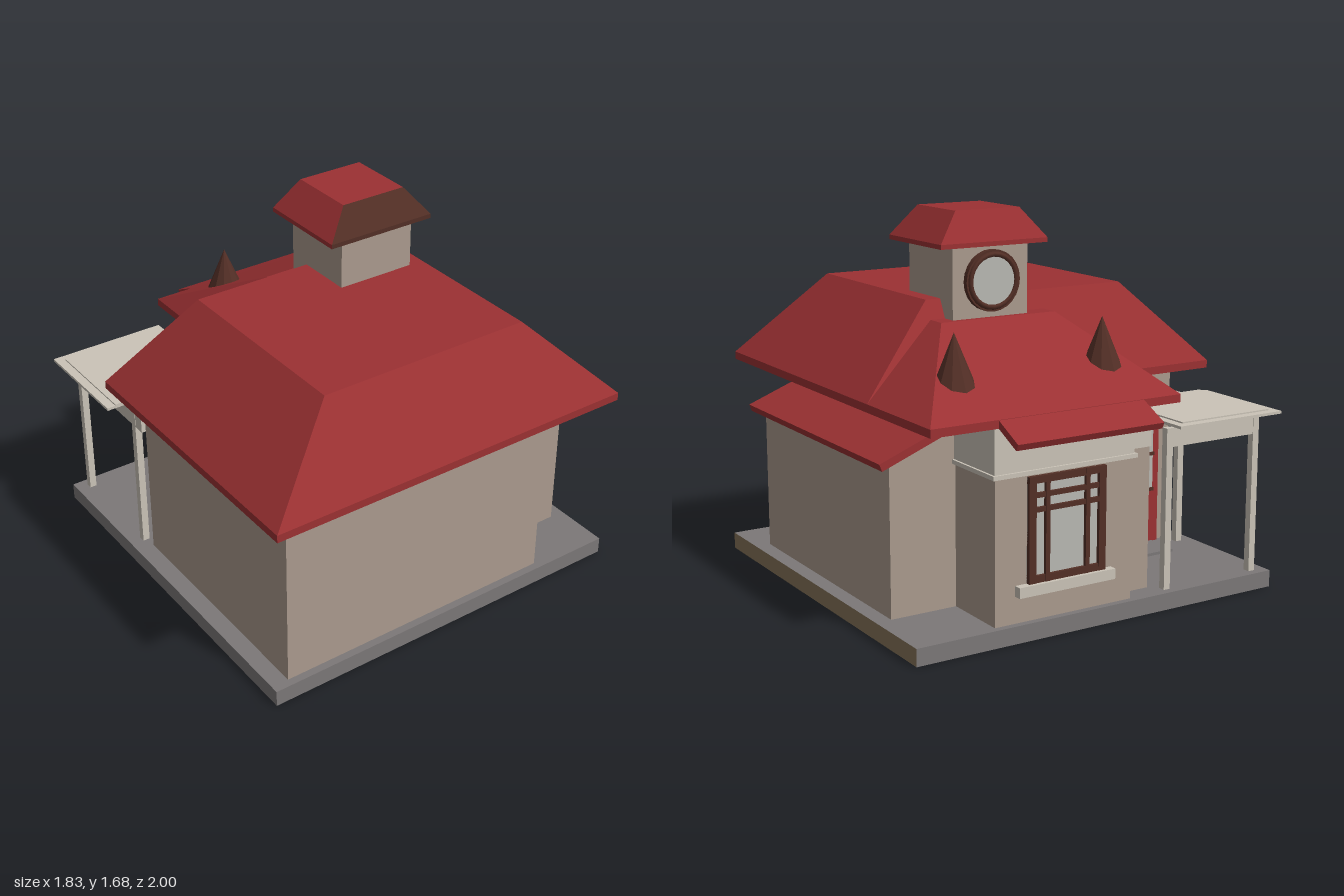
import * as THREE from 'three';

const mat = (name, color) => {
  const m = new THREE.MeshStandardMaterial({ color });
  m.name = name;
  return m;
};

export function createModel() {
  const red = mat('roof red', 0x9c3133);
  const wall = mat('wall beige', 0xab9b8e);
  const trim = mat('pale trim', 0xcbc4b8);
  const grey = mat('slab grey', 0x7c7878);
  const earth = mat('slab side brown', 0x857358);
  const brown = mat('dark brown', 0x532f26);
  const glass = mat('pale glass', 0xb9b9b3);

  const model = new THREE.Group();
  model.name = 'house';

  const add = (name, geo, material, parent = model) => {
    const mesh = new THREE.Mesh(geo, material);
    mesh.name = name;
    parent.add(mesh);
    return mesh;
  };
  // Box given by its extents on each axis
  const box = (name, material, x0, x1, y0, y1, z0, z1, parent = model) => {
    const m = add(name, new THREE.BoxGeometry(x1 - x0, y1 - y0, z1 - z0), material, parent);
    m.position.set((x0 + x1) / 2, (y0 + y1) / 2, (z0 + z1) / 2);
    return m;
  };
  const group = (name) => {
    const g = new THREE.Group();
    g.name = name;
    model.add(g);
    return g;
  };

  // Hipped roof from stacked rectangles [x0, x1, z0, z1, y]
  // Material slots: 0 slopes, 1 front slope, 2 underside
  const hipRoof = (name, rings, materials) => {
    const pos = [];
    const geo = new THREE.BufferGeometry();
    const corners = ([x0, x1, z0, z1, y]) => [[x0, y, z1], [x1, y, z1], [x1, y, z0], [x0, y, z0]];
    const quad = (a, b, c, d, slot) => {
      geo.addGroup(pos.length / 3, 6, slot);
      pos.push(...a, ...b, ...c, ...a, ...c, ...d);
    };
    const loops = rings.map(corners);
    for (let r = 0; r < loops.length - 1; r++) {
      for (let i = 0; i < 4; i++) {
        const j = (i + 1) % 4;
        quad(loops[r][i], loops[r][j], loops[r + 1][j], loops[r + 1][i], i === 0 ? 1 : 0);
      }
    }
    quad(...loops[loops.length - 1], 0);
    quad(...[...loops[0]].reverse(), 2);
    geo.setAttribute('position', new THREE.Float32BufferAttribute(pos, 3));
    geo.computeVertexNormals();
    return add(name, geo, materials);
  };

  // Ground slab
  box('baseSlab', [earth, grey, grey, grey, grey, grey], -0.88, 0.91, 0, 0.075, -0.86, 0.92);

  // Walls
  box('mainWalls', wall, -0.8, 0.54, 0.075, 0.9, -0.22, 0.885);
  box('backWingWalls', wall, -0.135, 0.535, 0.075, 0.9, -0.83, -0.2);
  box('porchSideWall', wall, -0.28, -0.135, 0.075, 0.9, -0.755, -0.2);

  // Lean-to on the +x side, with a sloping top
  const lean = new THREE.Shape();
  lean.moveTo(0.53, 0.075).lineTo(0.84, 0.075).lineTo(0.84, 0.735).lineTo(0.53, 0.86);
  const leanGeo = new THREE.ExtrudeGeometry(lean, { depth: 1.19, bevelEnabled: false });
  add('leanToWalls', leanGeo, wall).position.z = -0.525;

  // Pale cornice around the back wing
  box('cornice', trim, -0.14, 0.54, 0.7, 0.899, -0.835, -0.5);
  box('corniceLedge', trim, -0.15, 0.55, 0.688, 0.706, -0.845, -0.5);
  box('porchSideCornice', trim, -0.285, -0.13, 0.7, 0.899, -0.76, -0.3);

  // Roofs
  hipRoof('mainRoof', [
    [-0.915, 0.84, -0.345, 1, 0.9],
    [-0.915, 0.84, -0.345, 1, 0.935],
    [-0.54, 0.46, -0.16, 0.775, 1.305],
  ], [red, red, trim]);
  hipRoof('backWingRoof', [
    [-0.355, 0.84, -0.86, 0, 0.9],
    [-0.355, 0.84, -0.86, 0, 0.935],
    [-0.105, 0.46, -0.29, 0, 1.225],
  ], [red, red, trim]);

  // Sloping awnings
  const sideAwning = add('sideAwning', new THREE.BoxGeometry(0.39, 0.033, 1.27),
    [red, red, red, red, brown, red]);
  sideAwning.position.set(0.716, 0.797, 0.07);
  sideAwning.rotation.z = -0.37;
  const backAwning = add('backAwning', new THREE.BoxGeometry(0.7, 0.03, 0.22), red);
  backAwning.position.set(0.185, 0.9, -0.893);
  backAwning.rotation.x = -0.46;

  // Clock tower
  box('tower', wall, 0.02, 0.39, 1.15, 1.54, -0.265, 0.105);
  hipRoof('towerRoof', [
    [-0.06, 0.465, -0.3, 0.145, 1.53],
    [-0.06, 0.465, -0.3, 0.145, 1.55],
    [0.045, 0.36, -0.24, 0.08, 1.68],
  ], [red, brown, brown]);
  const clock = group('clock');
  clock.position.set(0.205, 1.382, -0.265);
  const ring = add('clockBody', new THREE.CylinderGeometry(0.132, 0.132, 0.05, 24), brown, clock);
  ring.rotation.x = Math.PI / 2;
  add('clockRim', new THREE.TorusGeometry(0.112, 0.012, 6, 24), brown, clock).position.z = -0.025;
  const face = add('clockFace', new THREE.CircleGeometry(0.105, 24), glass, clock);
  face.rotation.y = Math.PI;
  face.position.z = -0.028;

  // Roof spikes
  for (const [x, z] of [[-0.14, -0.595], [0.585, -0.605]]) {
    const cone = new THREE.ConeGeometry(0.095, 0.23, 10).toNonIndexed();
    cone.computeVertexNormals();
    add('roofSpike', cone, brown).position.set(x, 1.13, z);
  }

  // Back window: panes, frame bars and sill
  const win = group('backWindow');
  box('windowPanes', glass, 0.01, 0.385, 0.235, 0.68, -0.834, -0.83, win);
  for (const [x, w, top] of [[0.027, 0.034, 0.68], [0.368, 0.034, 0.68],
    [0.1, 0.02, 0.68], [0.295, 0.02, 0.68]]) {
    box('windowUpright', brown, x - w / 2, x + w / 2, 0.235, top, -0.85, -0.83, win);
  }
  for (const [y, h] of [[0.25, 0.03], [0.54, 0.02], [0.6, 0.02], [0.665, 0.03]]) {
    box('windowCrossbar', brown, 0.01, 0.385, y - h / 2, y + h / 2, -0.848, -0.83, win);
  }
  box('windowSill', trim, -0.03, 0.44, 0.19, 0.235, -0.865, -0.82, win);

  // Porch roof, beams and posts
  const porch = group('porch');
  box('porchRoof', trim, -0.915, -0.36, 0.783, 0.795, -0.86, -0.345, porch);
  box('porchRoofPanel', trim, -0.875, -0.4, 0.795, 0.801, -0.82, -0.345, porch);
  box('porchBackBeam', trim, -0.82, -0.32, 0.7, 0.783, -0.82, -0.795, porch);
  box('porchSideBeam', trim, -0.82, -0.795, 0.7, 0.783, -0.82, -0.22, porch);
  for (const [x, z] of [[-0.806, -0.806], [-0.335, -0.806], [-0.806, -0.29]]) {
    box('porchPost', trim, x - 0.016, x + 0.016, 0.075, 0.783, z - 0.016, z + 0.016, porch);
  }
  box('doorstep', grey, -0.68, -0.42, 0.075, 0.088, -0.42, -0.26, porch);

  // Double door with glazed upper halves
  const door = group('door');
  box('doorPanel', red, -0.73, -0.35, 0.075, 0.68, -0.235, -0.22, door);
  for (const x of [-0.63, -0.45]) {
    box('doorGlass', glass, x - 0.065, x + 0.065, 0.33, 0.64, -0.24, -0.235, door);
    box('doorGlazingBar', brown, x - 0.008, x + 0.008, 0.33, 0.64, -0.245, -0.235, door);
    for (const y of [0.33, 0.5, 0.64]) {
      box('doorCrossbar', brown, x - 0.07, x + 0.07, y - 0.008, y + 0.008, -0.245, -0.235, door);
    }
  }

  return model;
}
